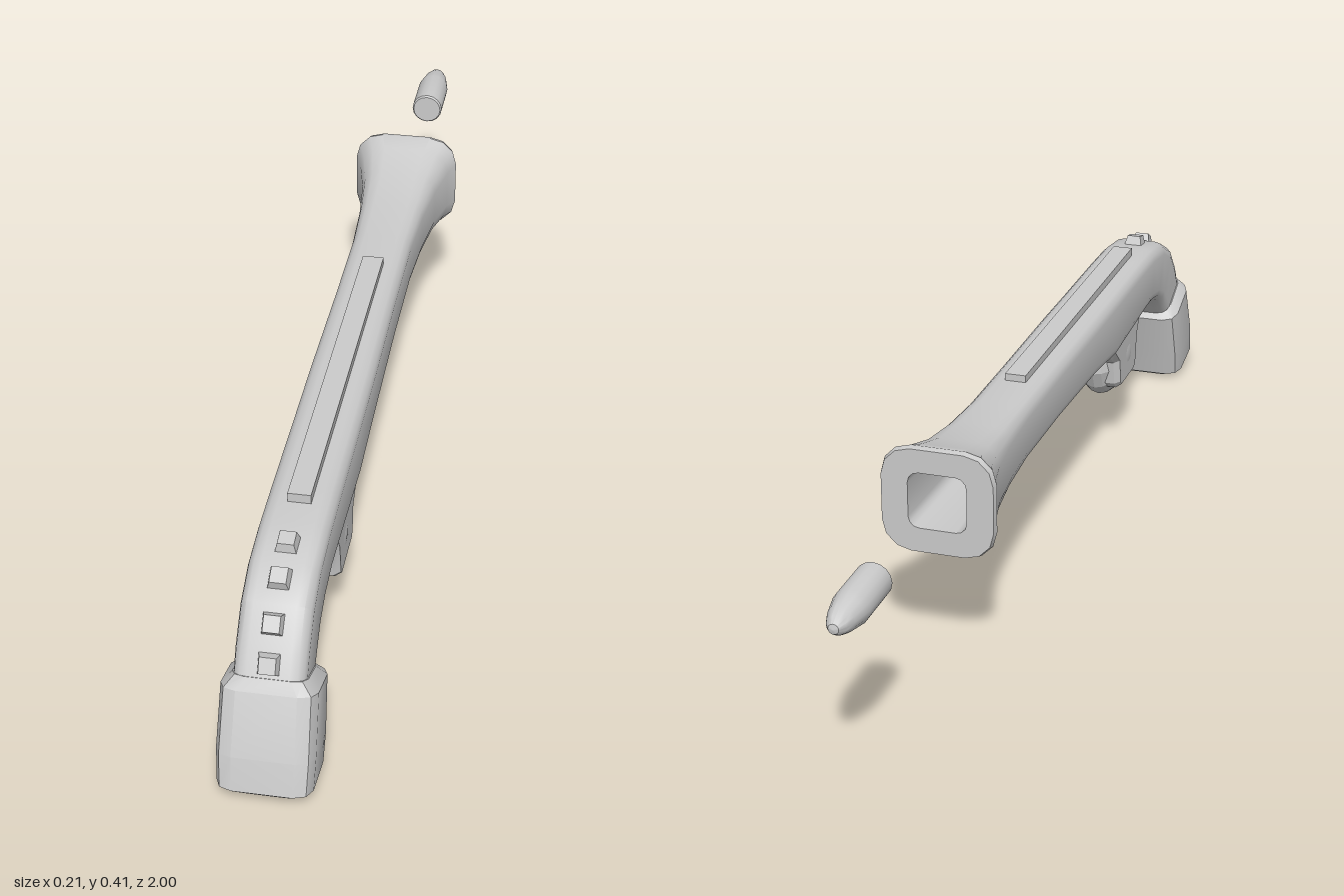
import * as THREE from 'three';
import { toCreasedNormals } from 'three/addons/utils/BufferGeometryUtils.js';

const material = new THREE.MeshStandardMaterial({ color: 0xcccccc });

function part(name, geometry, crease = 0.6) {
  const mesh = new THREE.Mesh(toCreasedNormals(geometry, crease), material);
  mesh.name = name;
  return mesh;
}

// Rounded rectangle outline, counter-clockwise
function outline(hw, hh, r, steps) {
  const points = [];
  const corners = [[1, 1], [-1, 1], [-1, -1], [1, -1]];
  corners.forEach(([sx, sy], k) => {
    for (let i = 0; i <= steps; i++) {
      const a = (k + i / steps) * Math.PI / 2;
      points.push([sx * (hw - r) + r * Math.cos(a), sy * (hh - r) + r * Math.sin(a)]);
    }
  });
  return points;
}

// Skin over sections [zTop, yTop, zBottom, yBottom, halfWidth, cornerRadius], capped at both ends
function loft(sections, steps) {
  const positions = [], index = [];
  const n = 4 * (steps + 1);
  const centres = [];
  for (const [zt, yt, zb, yb, hw, r] of sections) {
    const length = Math.hypot(zt - zb, yt - yb);
    const uz = (zt - zb) / length, uy = (yt - yb) / length;
    const cz = (zt + zb) / 2, cy = (yt + yb) / 2;
    centres.push([0, cy, cz]);
    for (const [x, v] of outline(hw, length / 2, r, steps)) positions.push(x, cy + v * uy, cz + v * uz);
  }
  const last = sections.length - 1, startCentre = sections.length * n;
  positions.push(...centres[0], ...centres[last]);
  for (let j = 0; j < n; j++) {
    const k = (j + 1) % n;
    for (let i = 0; i < last; i++) {
      const a = i * n + j, b = i * n + k;
      index.push(a, a + n, b, b, a + n, b + n);
    }
    index.push(startCentre, j, k, startCentre + 1, last * n + k, last * n + j);
  }
  const geometry = new THREE.BufferGeometry();
  geometry.setAttribute('position', new THREE.Float32BufferAttribute(positions, 3));
  geometry.setIndex(index);
  return geometry;
}

export function createModel() {
  const model = new THREE.Group();
  model.name = 'pistol';

  // Curved neck, barrel, flared muzzle, then back inside for the bore
  model.add(part('body', loft([
    [0.94, 0.20, 0.825, 0.165, 0.06, 0.025],
    [0.905, 0.262, 0.80, 0.19, 0.06, 0.025],
    [0.855, 0.318, 0.775, 0.215, 0.06, 0.025],
    [0.79, 0.35, 0.735, 0.233, 0.06, 0.025],
    [0.70, 0.362, 0.68, 0.242, 0.06, 0.025],
    [0.60, 0.364, 0.60, 0.238, 0.06, 0.025],
    [0.40, 0.364, 0.40, 0.226, 0.06, 0.025],
    [0.25, 0.365, 0.25, 0.242, 0.06, 0.025],
    [0.00, 0.366, 0.00, 0.25, 0.058, 0.025],
    [-0.20, 0.367, -0.20, 0.251, 0.058, 0.026],
    [-0.32, 0.372, -0.32, 0.247, 0.064, 0.03],
    [-0.42, 0.384, -0.42, 0.237, 0.075, 0.04],
    [-0.49, 0.402, -0.49, 0.225, 0.091, 0.05],
    [-0.522, 0.413, -0.522, 0.215, 0.104, 0.055],
    [-0.533, 0.41, -0.533, 0.218, 0.101, 0.053],
    [-0.533, 0.367, -0.533, 0.263, 0.053, 0.02],
    [-0.25, 0.354, -0.25, 0.268, 0.044, 0.018],
  ], 3)));

  // Wider grip end with bevelled base
  model.add(part('grip', loft([
    [0.975, 0.013, 0.875, 0.001, 0.055, 0.022],
    [1.0, 0.04, 0.857, 0.01, 0.08, 0.03],
    [0.985, 0.10, 0.842, 0.06, 0.082, 0.03],
    [0.943, 0.205, 0.812, 0.158, 0.08, 0.03],
    [0.928, 0.224, 0.822, 0.176, 0.062, 0.024],
  ], 2), 0.4));

  // Block under the body carrying the trigger
  const profile = new THREE.Shape([
    [0.61, 0.26], [0.585, 0.215], [0.575, 0.15], [0.56, 0.137],
    [0.455, 0.137], [0.443, 0.15], [0.435, 0.2], [0.40, 0.23], [0.38, 0.26],
  ].map(([z, y]) => new THREE.Vector2(z, y)));
  const block = new THREE.ExtrudeGeometry(profile, {
    depth: 0.084, bevelThickness: 0.012, bevelSize: 0.008, bevelOffset: -0.008, bevelSegments: 1,
  });
  block.translate(0, 0, -0.042).rotateY(-Math.PI / 2);
  model.add(part('triggerBlock', block, 0.4));

  // Rounded guard below the block
  const guard = new THREE.SphereGeometry(0.093, 14, 10);
  guard.rotateZ(Math.PI / 2).scale(0.6, 1, 1).translate(0, 0.195, 0.513);
  model.add(part('triggerGuard', guard, 0.3));

  // Sighting rib along the top
  const rib = new THREE.BoxGeometry(0.04, 0.02, 0.75);
  rib.translate(0, 0.37, 0.275);
  model.add(part('topRib', rib));

  // Tapered studs down the back of the neck: [z, y, tilt]
  [[0.752, 0.36, 0.2], [0.818, 0.341, 0.5], [0.878, 0.296, 0.88], [0.918, 0.246, 1.08]].forEach(([z, y, tilt]) => {
    const stud = new THREE.CylinderGeometry(0.7, 1, 1, 4, 1).rotateY(Math.PI / 4);
    stud.scale(0.028, 0.026, 0.028);
    const mesh = part('backStud', stud, 0.3);
    mesh.position.set(0, y, z);
    mesh.rotation.x = tilt;
    model.add(mesh);
  });

  // Bullet ahead of the muzzle
  const bulletProfile = [[0, 0], [0.029, 0], [0.032, 0.004], [0.032, 0.1], [0.029, 0.115],
    [0.024, 0.14], [0.017, 0.16], [0.009, 0.172], [0, 0.175]].map(([r, h]) => new THREE.Vector2(r, h));
  const bullet = new THREE.LatheGeometry(bulletProfile, 16);
  bullet.rotateX(-Math.PI / 2).translate(0, 0.317, -0.825);
  model.add(part('bullet', bullet, 0.5));

  return model;
}
